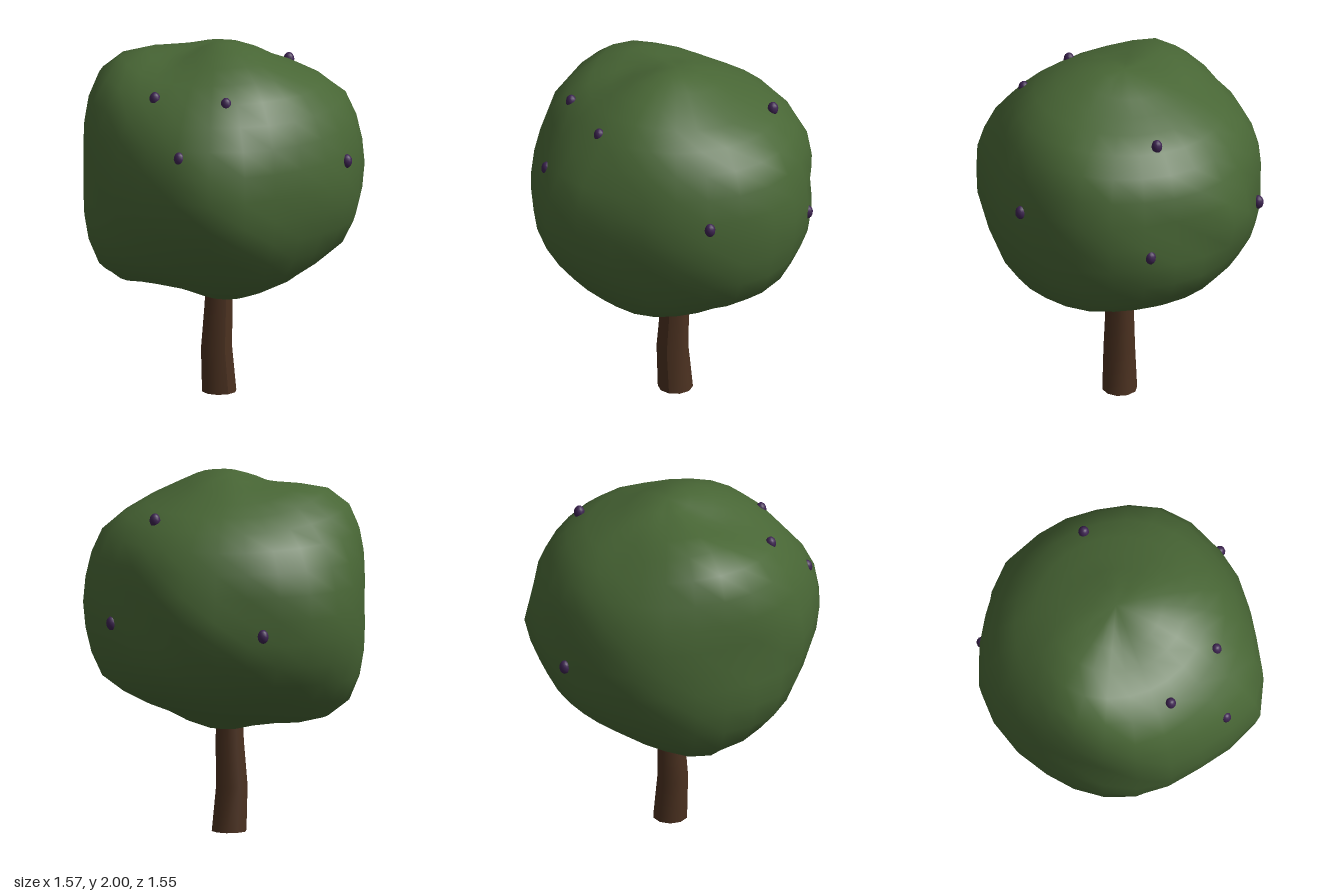
import * as THREE from 'three';
import { mergeVertices } from 'three/addons/utils/BufferGeometryUtils.js';

const CENTRE_Y = 1.28;

// Crown radius around the trunk, one ring every 15 degrees from equator to pole.
// Each ring starts at +x and turns towards +z in equal steps.
const RINGS = [
  [0.775, 0.80, 0.815, 0.79, 0.795, 0.78, 0.77, 0.795, 0.885, 0.85, 0.81, 0.81,
    0.775, 0.737, 0.735, 0.75, 0.775, 0.785, 0.775, 0.725, 0.745, 0.80, 0.74, 0.73],
  [0.775, 0.815, 0.79, 0.775, 0.855, 0.805, 0.80, 0.76, 0.785, 0.775, 0.75, 0.765],
  [0.775, 0.82, 0.785, 0.79, 0.80, 0.79, 0.83, 0.815, 0.79, 0.765, 0.74, 0.755],
  [0.73, 0.75, 0.765, 0.785, 0.775, 0.765, 0.80, 0.85, 0.78, 0.72, 0.715, 0.72],
  [0.685, 0.70, 0.73, 0.755, 0.75, 0.72, 0.715, 0.765, 0.74, 0.695, 0.685, 0.68],
  [0.70, 0.71, 0.73, 0.74, 0.735, 0.715, 0.695, 0.70, 0.69, 0.69, 0.69, 0.69],
  [0.715],
];
const POLE = RINGS.length - 1;

function catmull(a, b, c, d, t) {
  return b + 0.5 * t * (c - a + t * (2 * a - 5 * b + 4 * c - d + t * (3 * (b - c) + d - a)));
}

function ringRadius(ring, turn) {
  const n = ring.length;
  const s = turn * n;
  const i = Math.floor(s);
  const at = (k) => ring[(((i + k) % n) + n) % n];
  return catmull(at(-1), at(0), at(1), at(2), s - i);
}

// The crown mirrors itself above and below its equator
function crownRadius(dir) {
  const turn = Math.atan2(dir.z, dir.x) / (2 * Math.PI) + 1;
  const lat = Math.asin(Math.min(1, Math.abs(dir.y))) / (Math.PI / 2) * POLE;
  const i = Math.min(POLE - 1, Math.floor(lat));
  const at = (k) => {
    const j = Math.abs(i + k);
    return j > POLE ? ringRadius(RINGS[POLE - 1], turn + 0.5) : ringRadius(RINGS[j], turn);
  };
  return catmull(at(-1), at(0), at(1), at(2), lat - i);
}

function crownGeometry() {
  let geo = new THREE.SphereGeometry(1, 26, 18);
  geo.deleteAttribute('uv');
  geo.deleteAttribute('normal');
  geo = mergeVertices(geo, 1e-4);
  const pos = geo.attributes.position;
  const v = new THREE.Vector3();
  for (let i = 0; i < pos.count; i++) {
    v.fromBufferAttribute(pos, i).normalize();
    v.multiplyScalar(crownRadius(v));
    pos.setXYZ(i, v.x, v.y, v.z);
  }
  geo.computeVertexNormals();
  return geo;
}

// Tapered trunk with a slight bend a third of the way up
function trunkGeometry() {
  const height = 0.75;
  const geo = new THREE.CylinderGeometry(0.07, 0.097, height, 10, 3);
  geo.translate(0, height / 2, 0);
  const pos = geo.attributes.position;
  for (let i = 0; i < pos.count; i++) {
    const level = Math.round(pos.getY(i) / height * 3);
    pos.setX(i, pos.getX(i) + [0, -0.017, -0.004, 0][level]);
    pos.setZ(i, pos.getZ(i) + 0.024);
  }
  geo.computeVertexNormals();
  return geo;
}

export function createModel() {
  const tree = new THREE.Group();
  tree.name = 'fruitTree';

  const leaf = new THREE.MeshStandardMaterial({ color: 0x486635 });
  leaf.name = 'leafGreen';
  const bark = new THREE.MeshStandardMaterial({ color: 0x4b3120 });
  bark.name = 'barkBrown';
  const plum = new THREE.MeshStandardMaterial({ color: 0x3c2350 });
  plum.name = 'fruitPurple';

  const add = (name, geo, mat, x, y, z) => {
    const mesh = new THREE.Mesh(geo, mat);
    mesh.name = name;
    mesh.position.set(x, y, z);
    tree.add(mesh);
  };

  add('trunk', trunkGeometry(), bark, 0, 0, 0);
  add('crown', crownGeometry(), leaf, 0, CENTRE_Y, 0);

  // Oval fruit: direction from the crown centre, and how far it stands out
  const fruitGeo = new THREE.SphereGeometry(0.03, 12, 8);
  fruitGeo.scale(1, 1.3, 1);
  const fruits = [
    [0.44, 0.11, 0.64, -0.004],
    [0.77, -0.06, -0.03, -0.008],
    [0.52, 0.5, -0.1, 0.008],
    [0.18, -0.08, -0.72, 0.008],
    [-0.53, 0.5, 0.22, -0.008],
    [-0.26, 0.505, 0.52, -0.014],
    [-0.56, 0.235, 0.52, -0.018],
  ];
  for (const [x, y, z, out] of fruits) {
    const dir = new THREE.Vector3(x, y, z).normalize();
    const p = dir.clone().multiplyScalar(crownRadius(dir) + out);
    add('fruit', fruitGeo, plum, p.x, p.y + CENTRE_Y, p.z);
  }
  return tree;
}
